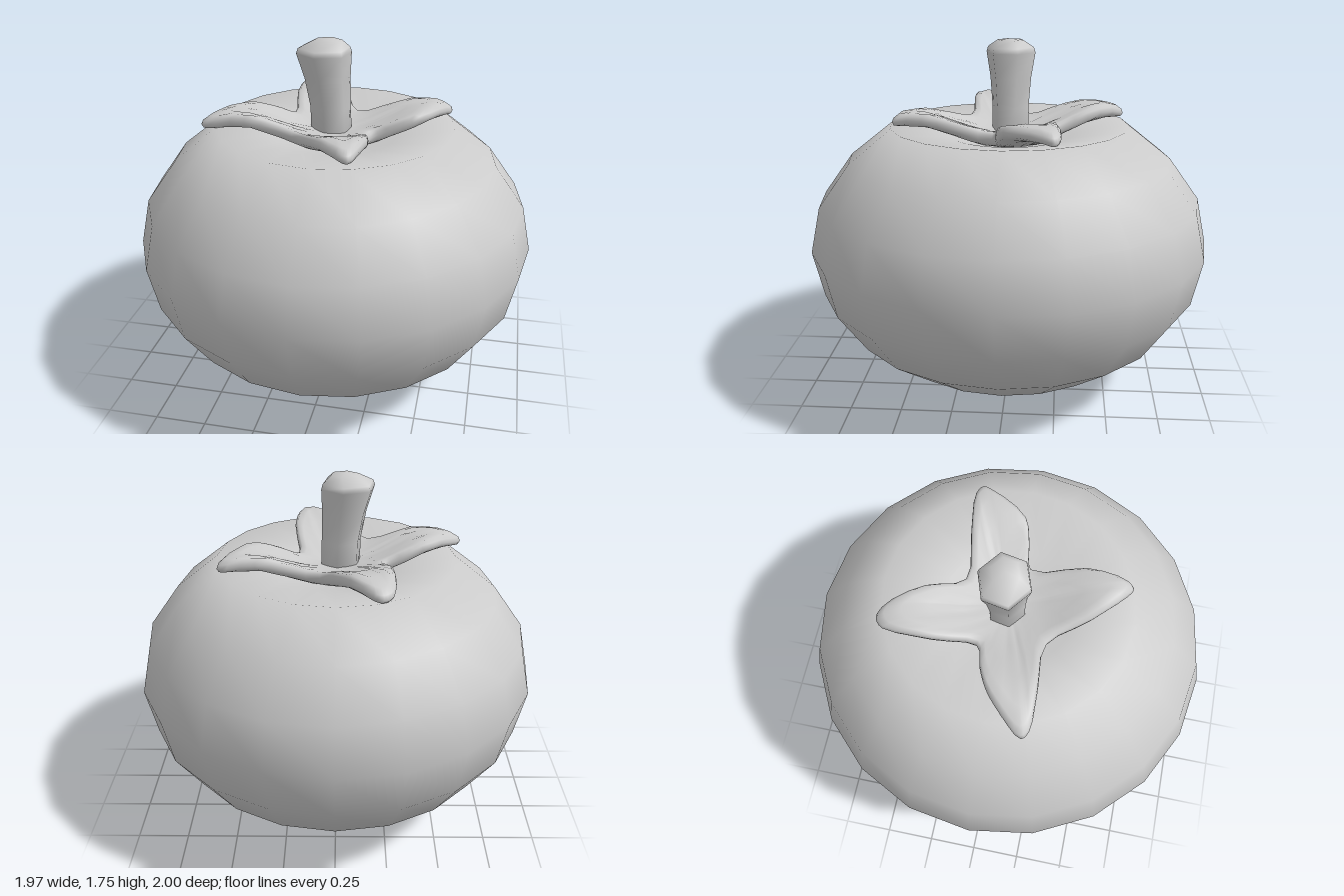
import * as THREE from 'three';
import { mergeVertices } from 'three/addons/utils/BufferGeometryUtils.js';

const grey = new THREE.MeshStandardMaterial({ color: 0xcccccc });

function part(name, geometry) {
  const mesh = new THREE.Mesh(geometry, grey);
  mesh.name = name;
  return mesh;
}

// Smooth skin over closed rings of points, listed from the underside to the top
function loft(rings) {
  const n = rings[0].length;
  const index = [];
  for (let i = 0; i < rings.length - 1; i++) {
    for (let j = 0; j < n; j++) {
      const k = (j + 1) % n;
      const a = i * n + j, b = i * n + k, c = a + n, d = b + n;
      index.push(a, c, b, b, c, d);
    }
  }
  let g = new THREE.BufferGeometry().setFromPoints(rings.flat());
  g.setIndex(index);
  g = mergeVertices(g, 1e-5);
  g.computeVertexNormals();
  return g;
}

// Squat round fruit with a dimple under the stem
function fruit() {
  const profile = [
    [0, 0], [0.31, 0.04], [0.59, 0.145], [0.81, 0.305], [0.95, 0.51], [1, 0.74],
    [0.95, 0.965], [0.8, 1.17], [0.59, 1.335], [0.31, 1.285], [0, 1.21],
  ].map(([r, y]) => new THREE.Vector2(r, y));
  return new THREE.LatheGeometry(profile, 20).scale(0.985, 1, 1);
}

// Height of the middle of the leaves at a distance from the stem
function leafHeight(r) {
  const steps = [[0, 1.255], [0.2, 1.295], [0.3, 1.34], [0.42, 1.382], [0.52, 1.382], [0.64, 1.35], [0.8, 1.3]];
  const i = Math.max(1, steps.findIndex(([x]) => x > r));
  const [r0, y0] = steps[i - 1], [r1, y1] = steps[i];
  return THREE.MathUtils.mapLinear(r, r0, r1, y0, y1);
}

// Four-pointed calyx: an uneven star outline, thick, with rounded edges
function calyx() {
  const outline = [
    [-0.17, 0.21], [-0.4, 0.213], [-0.59, 0.21], [-0.625, 0.18], [-0.55, 0.08], [-0.45, -0.01], [-0.35, -0.06],
    [-0.235, -0.1], [-0.265, -0.3], [-0.255, -0.53], [-0.21, -0.572], [-0.165, -0.56], [-0.02, -0.39],
    [0.075, -0.22], [0.3, -0.24], [0.5, -0.26], [0.55, -0.235], [0.53, -0.18], [0.415, 0], [0.3, 0.04],
    [0.19, 0.07], [0.215, 0.33], [0.185, 0.53], [0.16, 0.555], [0.11, 0.53], [-0.03, 0.39],
  ].map(([x, z]) => new THREE.Vector3(x, 0, z));
  const edge = new THREE.CatmullRomCurve3(outline, true).getPoints(outline.length * 3).slice(0, -1);
  // scale of each ring and its offset from the middle of the leaf
  const section = [
    [0, -0.035], [0.35, -0.035], [0.6, -0.035], [0.8, -0.035], [0.93, -0.03], [0.985, -0.018],
    [1, 0], [0.985, 0.018], [0.93, 0.033], [0.8, 0.038], [0.6, 0.038], [0.35, 0.036], [0, 0.035],
  ];
  return loft(section.map(([s, dy]) => edge.map((p) => {
    const x = p.x * s, z = p.z * s;
    return new THREE.Vector3(x, leafHeight(Math.hypot(x, z)) + dy, z);
  })));
}

// Six-sided leaning stem that widens to a bevelled top
function stem() {
  const rings = [
    // height, radius, sideways lean
    [1.22, 0, -0.02], [1.22, 0.1, -0.02], [1.42, 0.1, -0.025], [1.56, 0.112, -0.04],
    [1.68, 0.134, -0.057], [1.705, 0.126, -0.056], [1.74, 0.07, -0.04], [1.745, 0, -0.04],
  ];
  return loft(rings.map(([y, r, x]) => Array.from({ length: 6 }, (_, i) => {
    const a = THREE.MathUtils.degToRad(-20 + i * 60);
    return new THREE.Vector3(x + r * Math.cos(a), y, -0.005 + r * 0.92 * Math.sin(a));
  })));
}

export function createModel() {
  const model = new THREE.Group();
  model.name = 'fruit with stem';
  model.add(part('fruitBody', fruit()), part('calyx', calyx()), part('stem', stem()));
  return model;
}
